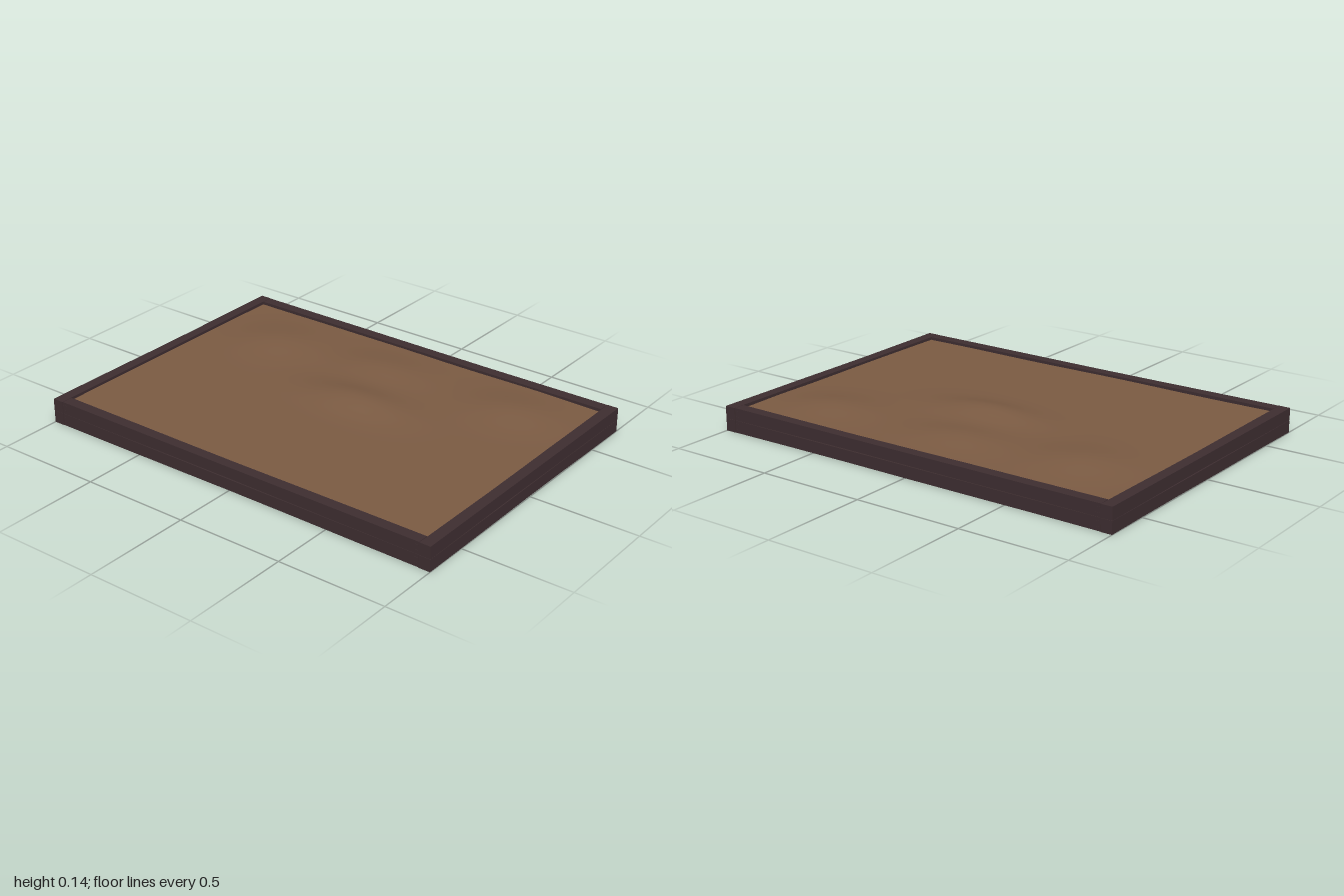
import * as THREE from 'three';

export function createModel() {
  const group = new THREE.Group();
  const wood = new THREE.MeshStandardMaterial({ color: 0x3d2d30, flatShading: true });
  wood.name = 'dark wood';
  const soil = new THREE.MeshStandardMaterial({ color: 0x7a5a42, side: THREE.DoubleSide });
  soil.name = 'brown soil';

  const add = (name, geometry, material, x, y, z) => {
    const mesh = new THREE.Mesh(geometry, material);
    mesh.name = name;
    mesh.position.set(x, y, z);
    group.add(mesh);
    return mesh;
  };

  // Hand-cut board along x: slightly thinner towards the middle
  const board = (length, seed) => {
    const g = new THREE.BoxGeometry(length, 0.056, 0.052, 6, 1, 1);
    const p = g.attributes.position;
    for (let i = 0; i < p.count; i++) {
      const t = p.getX(i) / (length / 2);
      const trim = 1 - 0.05 * (1 - t * t) * (1 + 0.5 * Math.sin(seed + t * 4));
      p.setY(i, p.getY(i) * trim);
      p.setZ(i, p.getZ(i) * trim);
    }
    g.computeVertexNormals();
    return g;
  };

  // Two stacked courses of boards on each side
  [0.033, 0.09].forEach((y, row) => {
    for (const s of [-1, 1]) {
      add(s > 0 ? 'frontBoard' : 'backBoard', board(1.892, row + s), wood, 0, y, s * 0.684);
      add(s > 0 ? 'leftBoard' : 'rightBoard', board(1.424, row * 2 + s), wood, s * 0.974, y, 0)
        .rotation.y = Math.PI / 2;
      // Small pegs at the board ends
      for (const e of [-1, 1]) for (const dy of [-0.012, 0.012]) {
        add('peg', new THREE.BoxGeometry(0.02, 0.004, 0.004), wood, e * 0.935, y + dy, s * 0.709);
      }
    }
  });

  // Soil sheet with low mounds: x, z, height, radius in x, radius in z
  const mounds = [
    [0.04, -0.09, 0.039, 0.24, 0.12],
    [-0.05, -0.42, 0.026, 0.22, 0.14],
    [-0.62, -0.36, 0.026, 0.2, 0.17],
    [0.64, -0.42, 0.026, 0.2, 0.15],
  ];
  const bed = new THREE.PlaneGeometry(1.9, 1.33, 48, 34);
  bed.rotateX(-Math.PI / 2);
  const p = bed.attributes.position;
  for (let i = 0; i < p.count; i++) {
    const x = p.getX(i), z = p.getZ(i);
    let y = 0.104 + 0.001 * Math.sin(x * 7 + z * 4);
    for (const [mx, mz, h, rx, rz] of mounds) {
      y += h * Math.exp(-(((x - mx) / rx) ** 2) - ((z - mz) / rz) ** 2);
    }
    p.setY(i, y);
  }
  bed.computeVertexNormals();
  add('soil', bed, soil, 0, 0, 0);

  return group;
}
